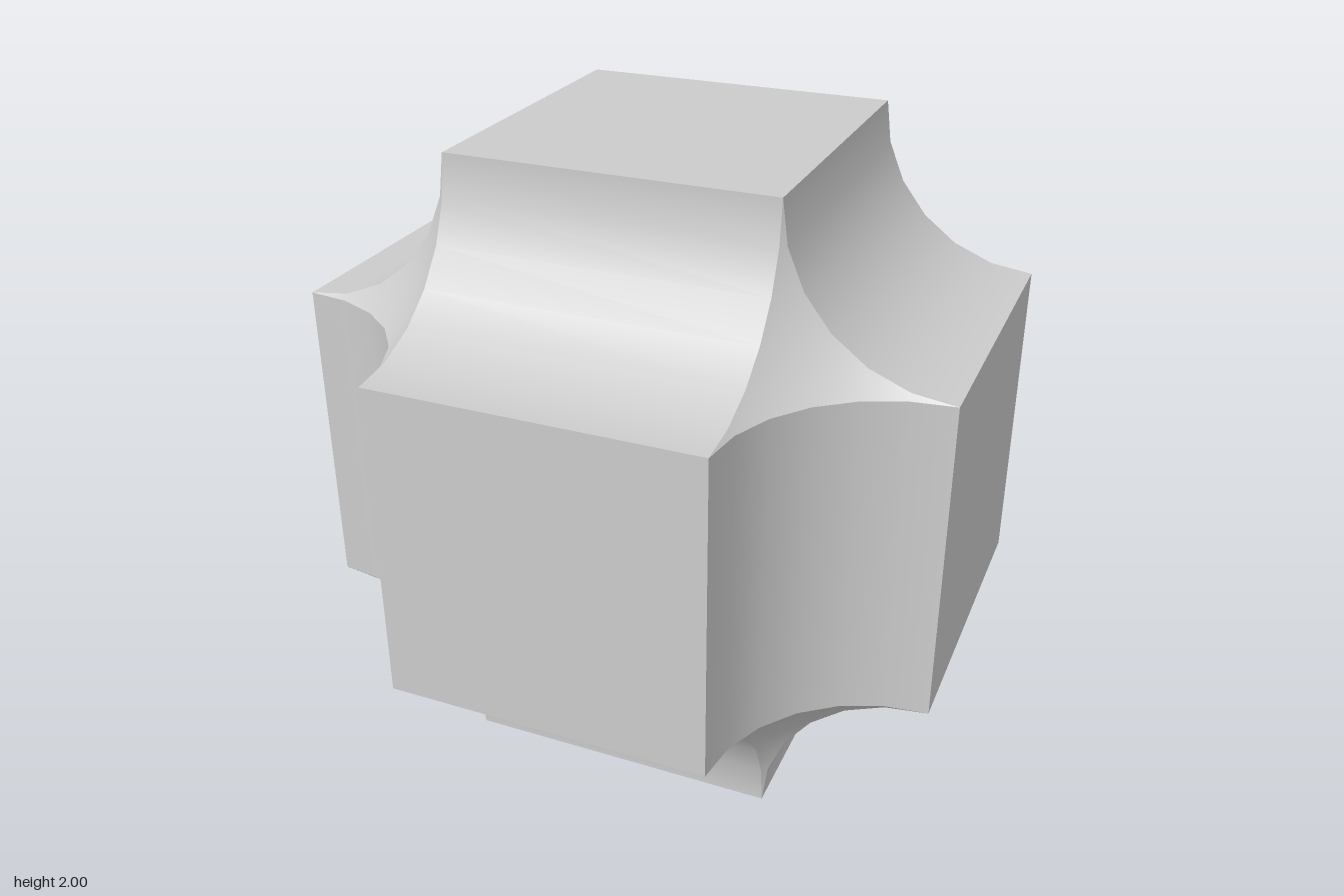
import * as THREE from 'three';

const HALF = 0.5;     // half width of each flat face, also the cove radius
const STEPS = 6;      // segments per quarter arc
const RIGHT = Math.PI / 2;

// Smooth surface from rows of points; each normal points from the vertex to centre(p).
function surface(rows, centre) {
  const positions = [], normals = [], index = [], start = [];
  for (const row of rows) {
    start.push(positions.length / 3);
    for (const p of row) {
      positions.push(...p.toArray());
      normals.push(...centre(p).sub(p).normalize().toArray());
    }
  }
  for (let k = 0; k + 1 < rows.length; k++) {
    const a = start[k], b = start[k + 1];
    for (let j = 0; j + 1 < rows[k + 1].length; j++) {
      if (j + 1 < rows[k].length) index.push(a + j, a + j + 1, b + j + 1);
      index.push(a + j, b + j + 1, b + j);
    }
  }
  const g = new THREE.BufferGeometry();
  g.setAttribute('position', new THREE.Float32BufferAttribute(positions, 3));
  g.setAttribute('normal', new THREE.Float32BufferAttribute(normals, 3));
  g.setIndex(index);
  return g;
}

// Upright cove: quarter cylinder hollowed around the axis x = z = 1.
function coveGeometry() {
  const rows = [HALF, -HALF].map(y => Array.from({ length: STEPS + 1 }, (_, i) => {
    const a = RIGHT * i / STEPS;
    return new THREE.Vector3(1 - HALF * Math.sin(a), y, 1 - HALF * Math.cos(a));
  }));
  return surface(rows, p => new THREE.Vector3(1, p.y, 1));
}

// Corner hollow: part of a sphere about (1, 1, 1), sliced in z from cusp to arc.
function cornerGeometry() {
  const rows = [];
  for (let k = 0; k <= STEPS; k++) {
    const depth = HALF * Math.sin(RIGHT * k / STEPS);
    const r = Math.sqrt(2 * HALF * HALF - depth * depth);
    const from = Math.acos(Math.min(1, HALF / r));
    const row = [];
    for (let j = 0; j <= k; j++) {
      const t = k ? j / k : 0;
      const phi = RIGHT - from + (2 * from - RIGHT) * t;
      // t = 0 lies on x = HALF, t = 1 on y = HALF
      row.push(new THREE.Vector3(1 - r * Math.sin(phi), 1 - r * Math.cos(phi), 1 - depth));
    }
    rows.push(row);
  }
  return surface(rows, () => new THREE.Vector3(1, 1, 1));
}

export function createModel() {
  const model = new THREE.Group();
  model.name = 'covedCube';
  const body = new THREE.Group();
  body.name = 'body';
  body.position.y = 1;
  model.add(body);
  const material = new THREE.MeshStandardMaterial({ color: 0xcccccc });

  const add = (name, geometry, x, y, z) => {
    const mesh = new THREE.Mesh(geometry, material);
    mesh.name = name;
    mesh.rotation.set(x, y, z, 'XZY'); // turn about y first, then tip over
    body.add(mesh);
  };

  const face = new THREE.PlaneGeometry(2 * HALF, 2 * HALF).translate(0, 0, 1);
  const cove = coveGeometry();
  const corner = cornerGeometry();

  for (let i = 0; i < 4; i++) {
    const turn = i * RIGHT;
    add('sideFace', face, 0, turn, 0);
    add('uprightCove', cove, 0, turn, 0);
    add('depthCove', cove, RIGHT, turn, 0);
    add('crossCove', cove, 0, turn, RIGHT);
    add('topCorner', corner, 0, turn, 0);
    add('bottomCorner', corner, Math.PI, turn, 0);
  }
  add('topFace', face, -RIGHT, 0, 0);
  add('bottomFace', face, RIGHT, 0, 0);

  return model;
}
